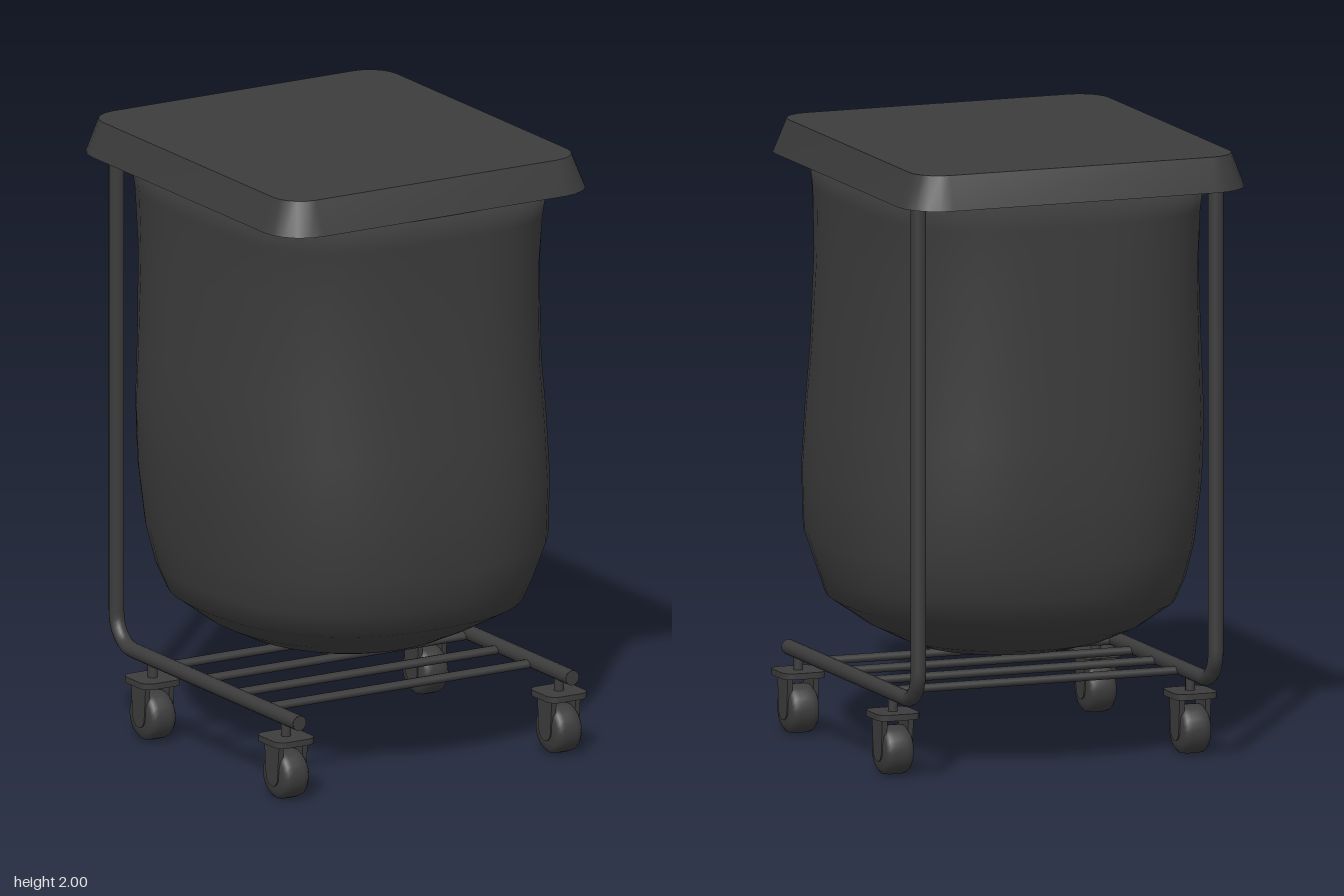
import * as THREE from 'three';
import { toCreasedNormals } from 'three/addons/utils/BufferGeometryUtils.js';

const material = new THREE.MeshStandardMaterial({ color: 0x3c3c3c });

function add(parent, name, geometry, x = 0, y = 0, z = 0) {
  const mesh = new THREE.Mesh(geometry, material);
  mesh.name = name;
  mesh.position.set(x, y, z);
  parent.add(mesh);
  return mesh;
}

// Skin a stack of horizontal rings (listed bottom to top, each turning from +x to +z), capped at both ends.
function loft(rings) {
  const n = rings[0].length;
  const positions = rings.flat().flatMap((p) => [p.x, p.y, p.z]);
  const index = [];
  for (let r = 0; r < rings.length - 1; r++) {
    for (let i = 0; i < n; i++) {
      const a = r * n + i, b = r * n + (i + 1) % n;
      index.push(a, a + n, b, b, a + n, b + n);
    }
  }
  for (const r of [0, rings.length - 1]) {
    const centre = new THREE.Vector3();
    rings[r].forEach((p) => centre.addScaledVector(p, 1 / n));
    const c = positions.length / 3;
    positions.push(centre.x, centre.y, centre.z);
    for (let i = 0; i < n; i++) {
      const a = r * n + i, b = r * n + (i + 1) % n;
      index.push(c, ...(r === 0 ? [a, b] : [b, a]));
    }
  }
  const geometry = new THREE.BufferGeometry();
  geometry.setAttribute('position', new THREE.Float32BufferAttribute(positions, 3));
  geometry.setIndex(index);
  geometry.computeVertexNormals();
  return geometry;
}

// Squarish ring with its own reach on every side
function bagRing([y, left, right, back, front, power]) {
  const ring = [];
  for (let i = 0; i < 56; i++) {
    const t = (i / 56) * Math.PI * 2, c = Math.cos(t), s = Math.sin(t);
    const k = (Math.abs(c) ** power + Math.abs(s) ** power) ** (-1 / power);
    ring.push(new THREE.Vector3(c * k * (c > 0 ? right : left), y, s * k * (s > 0 ? front : back)));
  }
  return ring;
}

// Rounded rectangle ring
function roundedRing(y, x0, x1, z0, z1, r) {
  const ring = [];
  const corners = [[x1 - r, z1 - r], [x0 + r, z1 - r], [x0 + r, z0 + r], [x1 - r, z0 + r]];
  corners.forEach(([cx, cz], q) => {
    for (let i = 0; i <= 5; i++) {
      const t = (q + i / 5) * Math.PI / 2;
      ring.push(new THREE.Vector3(cx + r * Math.cos(t), y, cz + r * Math.sin(t)));
    }
  });
  return ring;
}

// Swivel caster: stem, plate, two fork cheeks and a wide wheel
function makeCaster() {
  const caster = new THREE.Group();
  caster.name = 'caster';
  add(caster, 'stem', new THREE.CylinderGeometry(0.016, 0.016, 0.06, 12), 0, 0.225, 0);
  const plate = loft([0.185, 0.205].map((y) => roundedRing(y, -0.073, 0.073, -0.075, 0.075, 0.035)));
  add(caster, 'plate', toCreasedNormals(plate, 0.6));

  const cheek = new THREE.Shape();
  cheek.moveTo(-0.045, 0.187);
  cheek.lineTo(-0.036, 0.08);
  cheek.absarc(0, 0.08, 0.036, Math.PI, Math.PI * 2, false);
  cheek.lineTo(0.045, 0.187);
  const cheekGeometry = new THREE.ExtrudeGeometry(cheek, { depth: 0.018, bevelEnabled: false, curveSegments: 10 });
  cheekGeometry.translate(0, 0, -0.009).rotateY(Math.PI / 2);
  for (const side of [-1, 1]) add(caster, 'forkCheek', cheekGeometry, side * 0.045, 0, 0);

  const tread = [[0, -0.05], [0.045, -0.05], [0.066, -0.046], [0.077, -0.036], [0.08, -0.02],
    [0.08, 0.02], [0.077, 0.036], [0.066, 0.046], [0.045, 0.05], [0, 0.05]];
  const wheel = new THREE.LatheGeometry(tread.map(([r, h]) => new THREE.Vector2(r, h)), 24);
  add(caster, 'wheel', toCreasedNormals(wheel.rotateZ(Math.PI / 2), 0.7), 0, 0.08, 0);
  return caster;
}

export function createModel() {
  const model = new THREE.Group();
  model.name = 'laundryCart';

  // Sagging bag: height, reach to -x, +x, -z, +z, squareness
  const sections = [
    [0.327, 0.07, 0.1, 0.08, 0.08, 2],
    [0.35, 0.25, 0.27, 0.25, 0.28, 2],
    [0.38, 0.34, 0.35, 0.36, 0.38, 2.1],
    [0.425, 0.43, 0.44, 0.45, 0.47, 2.25],
    [0.5, 0.53, 0.545, 0.53, 0.6, 2.4],
    [0.58, 0.555, 0.565, 0.57, 0.635, 2.5],
    [0.7, 0.575, 0.6, 0.605, 0.668, 2.6],
    [0.9, 0.598, 0.605, 0.625, 0.675, 2.6],
    [1.1, 0.607, 0.592, 0.625, 0.67, 2.6],
    [1.3, 0.593, 0.572, 0.621, 0.648, 2.7],
    [1.6, 0.568, 0.547, 0.618, 0.638, 3],
    [1.8, 0.558, 0.535, 0.615, 0.64, 3.5],
    [1.89, 0.558, 0.535, 0.615, 0.642, 3.9],
  ];
  add(model, 'bag', loft(sections.map(bagRing)));

  // Lid with sloping rim
  const lid = loft([
    roundedRing(1.89, -0.606, 0.582, -0.673, 0.657, 0.14),
    roundedRing(2, -0.565, 0.54, -0.633, 0.61, 0.1),
  ]);
  add(model, 'lid', toCreasedNormals(lid, 0.6));

  // Bent side tubes, each carrying two casters
  const railY = 0.265, postZ = -0.515, bend = 0.1;
  const v = (y, z) => new THREE.Vector3(0, y, z);
  const path = new THREE.CurvePath();
  path.add(new THREE.LineCurve3(v(railY, 0.605), v(railY, postZ + bend)));
  const arc = [0, 1, 2, 3, 4, 5, 6].map((i) => {
    const t = (i / 6) * Math.PI / 2;
    return v(railY + bend - bend * Math.cos(t), postZ + bend - bend * Math.sin(t));
  });
  for (let i = 0; i < 6; i++) path.add(new THREE.LineCurve3(arc[i], arc[i + 1]));
  path.add(new THREE.LineCurve3(arc[6], v(1.9, postZ)));
  const tube = new THREE.TubeGeometry(path, 140, 0.025, 14, false);
  const cap = new THREE.CircleGeometry(0.025, 14);
  for (const x of [-0.525, 0.502]) {
    add(model, 'sideTube', tube, x, 0, 0);
    add(model, 'tubeEnd', cap, x, railY, 0.605);
    for (const z of [0.522, -0.294]) {
      const caster = makeCaster();
      caster.position.set(x, 0, z);
      model.add(caster);
    }
  }

  // Flattened cross bars of the base
  const bar = new THREE.CylinderGeometry(0.014, 0.014, 1.025, 12).rotateZ(Math.PI / 2).scale(1, 1, 1.5);
  for (let i = 0; i < 4; i++) add(model, 'crossBar', bar, -0.0125, 0.258, 0.365 - i * 0.195);

  return model;
}
